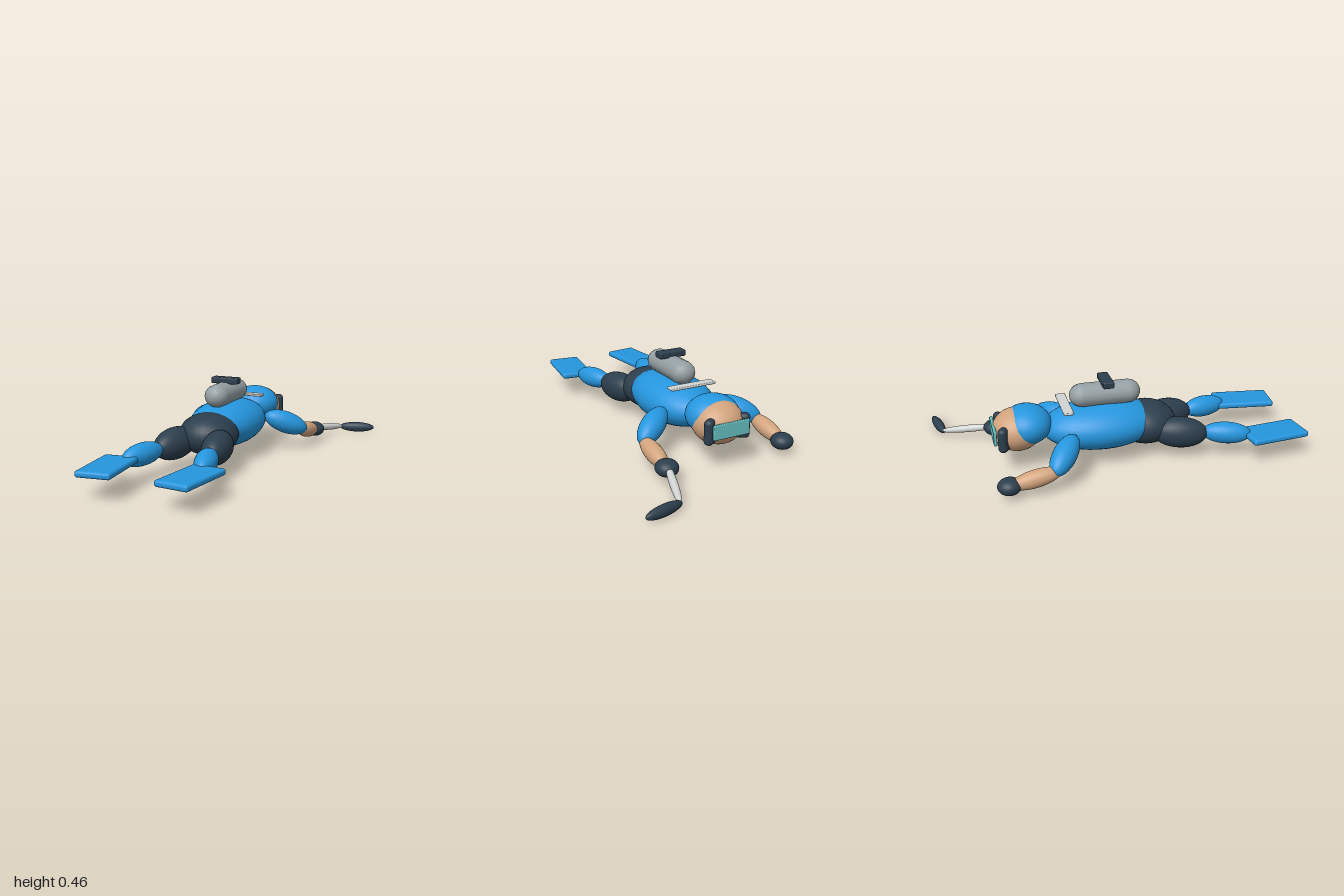
import * as THREE from 'three';
import { RoundedBoxGeometry } from 'three/addons/geometries/RoundedBoxGeometry.js';

const mat = (name, color) => {
  const m = new THREE.MeshStandardMaterial({ color });
  m.name = name;
  return m;
};

export function createModel() {
  const blue = mat('suitBlue', 0x2596de);
  const dark = mat('darkSlate', 0x2c3e4d);
  const skin = mat('skin', 0xd2a47e);
  const grey = mat('tankGrey', 0x95a0a4);
  const pale = mat('paleGrey', 0xd0d4d2);
  const teal = mat('lensTeal', 0x66c0c2);

  const model = new THREE.Group();
  model.name = 'swimmingDiver';
  // The body is symmetric about its own midline
  const body = new THREE.Group();
  body.name = 'body';
  body.position.x = -0.12;
  model.add(body);

  const add = (parent, name, geometry, material, pos) => {
    const mesh = new THREE.Mesh(geometry, material);
    mesh.name = name;
    mesh.position.set(...pos);
    parent.add(mesh);
    return mesh;
  };

  const ball = (parent, name, material, pos, radii) => {
    const mesh = add(parent, name, new THREE.SphereGeometry(1, 28, 18), material, pos);
    mesh.scale.set(...radii);
    return mesh;
  };

  // Ellipsoid stretched from tip a to tip b
  const limb = (parent, name, material, a, b, r, rz = r) => {
    const from = new THREE.Vector3(...a), to = new THREE.Vector3(...b);
    const dir = to.clone().sub(from);
    const mid = from.clone().add(to).multiplyScalar(0.5);
    const mesh = ball(parent, name, material, mid.toArray(), [r, dir.length() / 2, rz]);
    mesh.quaternion.setFromUnitVectors(new THREE.Vector3(0, 1, 0), dir.normalize());
    return mesh;
  };

  const box = (parent, name, material, pos, [w, h, d], r) =>
    add(parent, name, new RoundedBoxGeometry(w, h, d, 3, r), material, pos);

  // Trunk and head
  ball(body, 'torso', blue, [0, 0.198, -0.1], [0.195, 0.132, 0.33]);
  ball(body, 'hips', dark, [0, 0.18, 0.15], [0.165, 0.116, 0.17]);
  ball(body, 'head', skin, [0, 0.215, -0.56], [0.137, 0.115, 0.136]);
  ball(body, 'hood', blue, [0, 0.238, -0.51], [0.145, 0.105, 0.135]);

  // Mask lens
  box(body, 'maskLens', teal, [0, 0.215, -0.688], [0.21, 0.08, 0.018], 0.005);

  // Tank lies along the back with a strap and a harness bar
  const tank = add(body, 'airTank', new THREE.CapsuleGeometry(0.07, 0.25, 5, 14), grey, [0, 0.372, -0.08]);
  tank.rotation.x = Math.PI / 2;
  tank.scale.z = 0.92;
  box(body, 'tankStrap', dark, [0, 0.443, -0.075], [0.162, 0.036, 0.06], 0.008);
  box(body, 'harnessBar', pale, [0, 0.328, -0.302], [0.27, 0.014, 0.055], 0.005);

  // Mirrored limbs, fins and mask sides
  for (const [side, s] of [['left', 1], ['right', -1]]) {
    const g = new THREE.Group();
    g.name = side + 'Side';
    body.add(g);

    const cup = box(g, side + 'MaskSide', dark, [s * 0.097, 0.205, -0.643], [0.075, 0.135, 0.05], 0.023);
    cup.rotation.y = s * 0.6;

    limb(g, side + 'UpperArm', blue, [s * 0.16, 0.215, -0.28], [s * 0.368, 0.115, -0.428], 0.064);
    limb(g, side + 'Forearm', skin, [s * 0.342, 0.12, -0.385], [s * 0.348, 0.07, -0.65], 0.047);
    ball(g, side + 'Glove', dark, [s * 0.347, 0.07, -0.653], [0.06, 0.044, 0.062]);

    limb(g, side + 'Thigh', dark, [s * 0.095, 0.16, 0.16], [s * 0.157, 0.14, 0.46], 0.082, 0.087);
    limb(g, side + 'Calf', blue, [s * 0.145, 0.148, 0.43], [s * 0.218, 0.138, 0.69], 0.059, 0.06);

    const fin = box(g, side + 'Fin', blue, [s * 0.228, 0.137, 0.82], [0.187, 0.034, 0.335], 0.014);
    fin.rotation.y = -s * 0.12;
  }

  // Paddle held in the left hand
  limb(model, 'paddleHandle', pale, [0.215, 0.08, -0.63], [0.325, 0.035, -0.955], 0.021);
  limb(model, 'paddleBlade', dark, [0.308, 0.034, -0.937], [0.522, 0.034, -0.989], 0.031, 0.027)
    .name = 'paddleBlade';

  return model;
}
